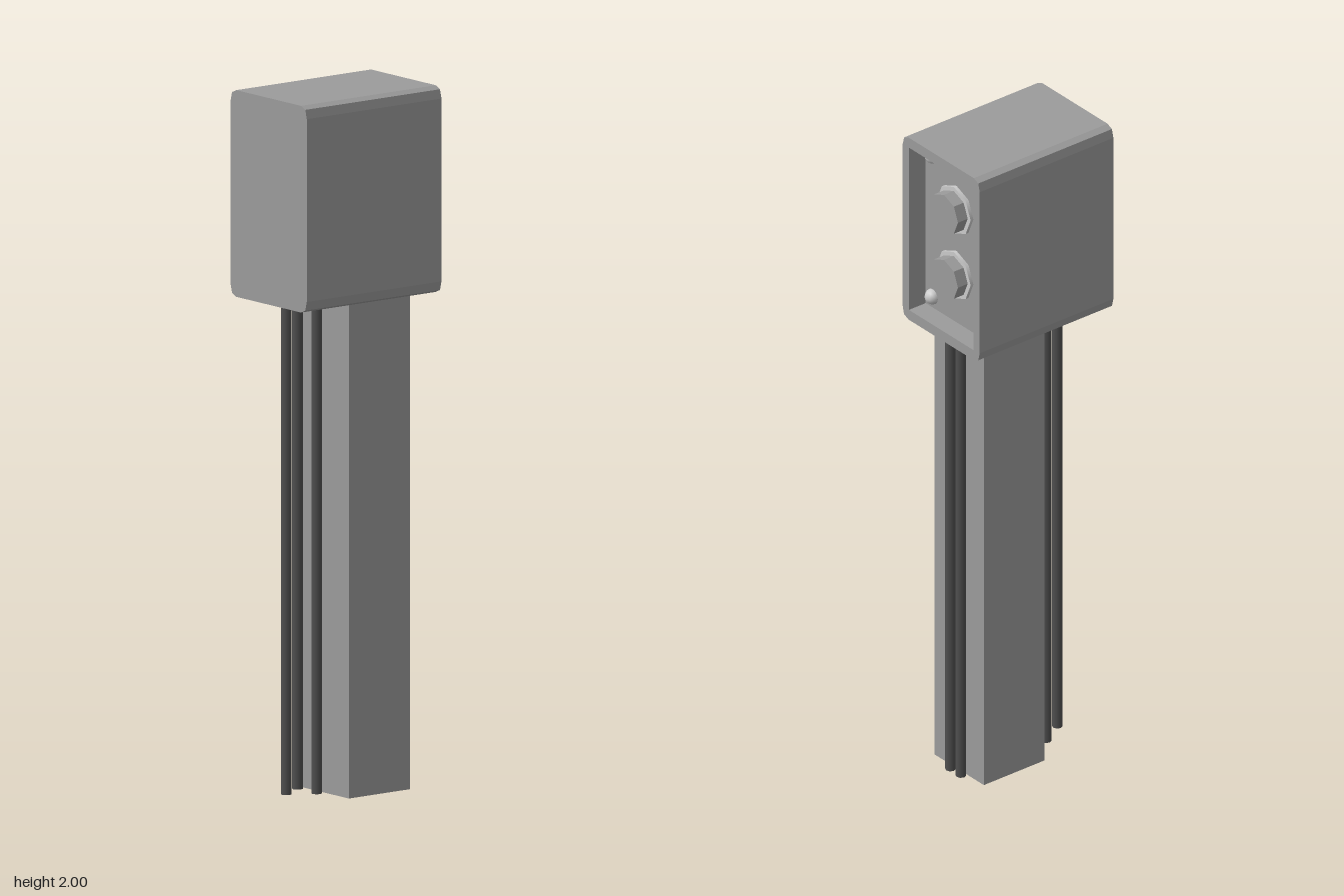
import * as THREE from 'three';

const bodyGrey = new THREE.MeshStandardMaterial({ color: 0x9c9c9c, flatShading: true });
const lightMetal = new THREE.MeshStandardMaterial({ color: 0xcccccc });
const darkCable = new THREE.MeshStandardMaterial({ color: 0x505050 });

function add(parent, name, geometry, material, x = 0, y = 0, z = 0) {
  const mesh = new THREE.Mesh(geometry, material);
  mesh.name = name;
  mesh.position.set(x, y, z);
  parent.add(mesh);
}

// Upright rectangle with eased corners, centred on the origin
function easedRect(w, h, cx, cy) {
  const s = new THREE.Shape();
  const a = w / 2, b = h / 2;
  s.moveTo(-a + cx, -b);
  s.lineTo(a - cx, -b);
  s.quadraticCurveTo(a, -b, a, -b + cy);
  s.lineTo(a, b - cy);
  s.quadraticCurveTo(a, b, a - cx, b);
  s.lineTo(-a + cx, b);
  s.quadraticCurveTo(-a, b, -a, b - cy);
  s.lineTo(-a, -b + cy);
  s.quadraticCurveTo(-a, -b, -a + cx, -b);
  return s;
}

// Extrusion running along +x
const alongX = (shape, depth) =>
  new THREE.ExtrudeGeometry(shape, { depth, bevelEnabled: false, curveSegments: 2 }).rotateY(Math.PI / 2);

// Octagonal prism lying along x, starting at x = 0
const octagonX = (radius, length) =>
  new THREE.CylinderGeometry(radius, radius, length, 8).rotateZ(-Math.PI / 2).translate(length / 2, 0, 0);

export function createModel() {
  const model = new THREE.Group();
  const midY = 1.706, plateX = 0.18, endX = 0.24;
  const outline = () => easedRect(0.342, 0.588, 0.026, 0.034);

  // Housing: solid body plus the rim around the recessed panel
  const housing = new THREE.Group();
  housing.name = 'housing';
  model.add(housing);
  add(housing, 'housingBody', alongX(outline(), plateX + endX), bodyGrey, -endX, midY, 0);
  const rim = outline();
  const hole = new THREE.Path();
  hole.moveTo(-0.143, -0.262).lineTo(-0.143, 0.262).lineTo(0.143, 0.262).lineTo(0.143, -0.262).closePath();
  rim.holes.push(hole);
  add(housing, 'housingRim', alongX(rim, endX - plateX), bodyGrey, plateX, midY, 0);

  // Two knobs, each on a flat light nut
  for (const y of [1.81, 1.6]) {
    const knob = new THREE.Group();
    knob.name = 'knob';
    knob.position.set(plateX, y, 0.006);
    model.add(knob);
    add(knob, 'knobNut', octagonX(0.075, 0.01), lightMetal);
    add(knob, 'knobCap', octagonX(0.062, 0.045), bodyGrey);
  }

  // Corner screws
  for (const y of [1.935, 1.48])
    for (const z of [0.112, -0.112])
      add(model, 'screw', new THREE.SphereGeometry(0.023, 12, 8), lightMetal, plateX, y, z);

  // Square post
  add(model, 'post', new THREE.BoxGeometry(0.217, 1.42, 0.22), bodyGrey, 0.067, 0.71, 0);

  // Thin dark rods hanging beside the post
  const rods = [[-0.177, 0], [-0.103, 0.043], [-0.103, -0.043], [0.204, 0.003], [0.204, -0.043]];
  for (const [x, z] of rods)
    add(model, 'rod', new THREE.CylinderGeometry(0.015, 0.015, 1.408, 8), darkCable, x, 0.716, z);

  return model;
}
